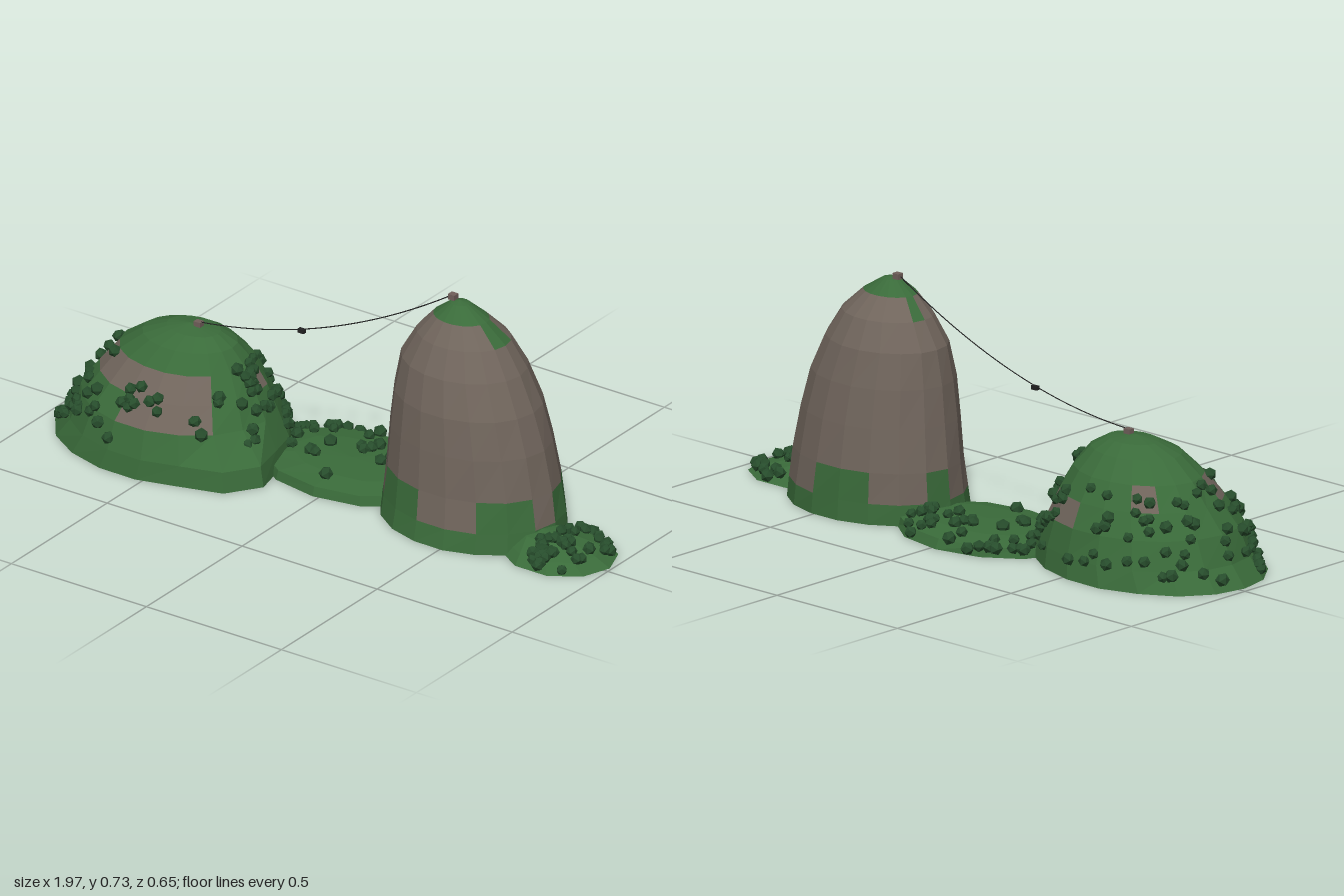
import * as THREE from 'three';
import { mergeGeometries } from 'three/addons/utils/BufferGeometryUtils.js';

const mat = (name, color, extra = {}) => new THREE.MeshStandardMaterial({ name, color, ...extra });

// Small seeded random numbers
function seeded(seed) {
  return () => {
    seed = (seed * 16807) % 2147483647;
    return seed / 2147483647;
  };
}

// Point on a hill: rings are [y, xMin, xMax, zMin, zMax], angle 0 = +x, 90 = +z
function ringPoint(ring, degrees, scale = 1) {
  const [y, x0, x1, z0, z1] = ring;
  const a = THREE.MathUtils.degToRad(degrees);
  return new THREE.Vector3(
    (x0 + x1) / 2 + Math.cos(a) * (x1 - x0) / 2 * scale, y,
    (z0 + z1) / 2 + Math.sin(a) * (z1 - z0) / 2 * scale);
}

// Faceted hill from rings; isRock(level, angle) picks the material of each face
function hill(name, rings, sides, materials, { isRock = () => false, swell = () => 1, seed = 7, rough = 0.02 } = {}) {
  const rand = seeded(seed), step = 360 / sides;
  const loops = rings.map((ring, k) => {
    const loop = [];
    for (let i = 0; i < sides; i++) {
      loop.push(ringPoint(ring, i * step, swell(k, i * step) * (1 + (rand() - 0.5) * rough)));
    }
    return loop;
  });
  const faces = [[], []];
  for (let k = 0; k < rings.length - 1; k++) {
    for (let i = 0; i < sides; i++) {
      const j = (i + 1) % sides, low = loops[k], up = loops[k + 1];
      const out = faces[isRock(k, (i + 0.5) * step) ? 1 : 0];
      out.push(low[j], low[i], up[i]);
      if (k < rings.length - 2) out.push(low[j], up[i], up[j]);
    }
  }
  // Flat underside
  const centre = ringPoint(rings[0], 0, 0);
  for (let i = 0; i < sides; i++) faces[0].push(centre, loops[0][i], loops[0][(i + 1) % sides]);

  const geometry = new THREE.BufferGeometry().setFromPoints([...faces[0], ...faces[1]]);
  geometry.addGroup(0, faces[0].length, 0);
  geometry.addGroup(faces[0].length, faces[1].length, 1);
  geometry.computeVertexNormals();
  const mesh = new THREE.Mesh(geometry, materials);
  mesh.name = name;
  return mesh;
}

// Scatter bushes over a hill; each zone is [count, angleFrom, angleTo, levelFrom, levelTo]
function bushes(name, rings, zones, material, seed) {
  const rand = seeded(seed), parts = [];
  for (const [count, a0, a1, k0, k1] of zones) {
    for (let n = 0; n < count; n++) {
      const angle = a0 + (a1 - a0) * rand();
      const level = k0 + (k1 - k0) * rand(), k = Math.floor(level);
      const p = ringPoint(rings[k], angle).lerp(ringPoint(rings[k + 1], angle), level - k);
      const r = 0.017 + rand() * 0.006;
      const bush = new THREE.IcosahedronGeometry(r, 0);
      bush.rotateY(rand() * 6).translate(p.x, Math.max(p.y + 0.009, r), p.z);
      parts.push(bush);
    }
  }
  const mesh = new THREE.Mesh(mergeGeometries(parts), material);
  mesh.name = name;
  return mesh;
}

const within = (a, ranges) => ranges.some(([from, to]) => a > from && a < to);

export function createModel() {
  const group = new THREE.Group();
  const grass = mat('grass green', 0x3a6b3a);
  const rock = mat('rock brown', 0x70655c);
  const foliage = mat('dark foliage', 0x274d2c);
  const stationMat = mat('station brown', 0x705f5a);
  const dark = mat('cable black', 0x222222);
  const land = [grass, rock];

  // Tall rocky peak with grassy foot and crown
  const tall = [
    [0.006, 0.15, 0.762, -0.313, 0.176],
    [0.07, 0.155, 0.755, -0.308, 0.162],
    [0.167, 0.163, 0.738, -0.3, 0.147],
    [0.3, 0.178, 0.712, -0.282, 0.137],
    [0.42, 0.192, 0.678, -0.262, 0.124],
    [0.53, 0.213, 0.626, -0.235, 0.094],
    [0.615, 0.262, 0.57, -0.195, 0.052],
    [0.677, 0.32, 0.505, -0.135, 0.008],
    [0.718, 0.375, 0.438, -0.092, -0.038],
    [0.725, 0.405, 0.405, -0.066, -0.066],
  ];
  const tallFoot = [[20, 60], [100, 140], [180, 200], [240, 280], [320, 360]];
  group.add(hill('tallPeak', tall, 18, land, {
    isRock: (k, a) => {
      if (k === 0 || k >= 7) return false;
      if (k === 1) return !within(a, tallFoot);
      if (k === 6) return !within(a, [[0, 20], [340, 360], [180, 200]]);
      return true;
    },
    seed: 11, rough: 0.012,
  }));

  // Broad grassy hill with exposed rock patches
  const broad = [
    [0.006, -0.98, -0.2, -0.285, 0.328],
    [0.07, -0.93, -0.215, -0.272, 0.315],
    [0.157, -0.89, -0.255, -0.25, 0.285],
    [0.232, -0.835, -0.295, -0.215, 0.232],
    [0.305, -0.78, -0.34, -0.17, 0.172],
    [0.362, -0.7, -0.385, -0.11, 0.125],
    [0.392, -0.62, -0.44, -0.06, 0.07],
    [0.405, -0.54, -0.54, 0.01, 0.01],
  ];
  group.add(hill('broadHill', broad, 18, land, {
    isRock: (k, a) =>
      (k === 2 && within(a, [[40, 100], [280, 320]])) ||
      (k === 3 && within(a, [[40, 160], [220, 240], [340, 360]])),
    // Low ledge jutting toward the front right
    swell: (k, a) => (k < 2 && (a === 20 || a === 40) ? 1.14 : 1),
    seed: 23,
  }));

  // Low land bridge between the hills
  const bridge = [
    [0.006, -0.33, 0.29, -0.322, 0.105],
    [0.036, -0.32, 0.28, -0.31, 0.096],
    [0.05, -0.22, 0.2, -0.23, 0.02],
    [0.056, -0.02, -0.02, -0.1, -0.1],
  ];
  group.add(hill('landBridge', bridge, 12, land, { seed: 31 }));

  // Small cape beside the tall peak
  const cape = [
    [0.006, 0.62, 0.995, -0.178, 0.138],
    [0.03, 0.64, 0.94, -0.145, 0.105],
    [0.06, 0.67, 0.83, -0.08, 0.04],
    [0.068, 0.74, 0.74, -0.02, -0.02],
  ];
  group.add(hill('cape', cape, 10, land, { seed: 41 }));

  // Bushes
  group.add(bushes('broadHillBushes', broad, [
    [36, -50, 38, 1, 4.1],
    [26, 140, 205, 0.2, 4],
    [34, 195, 312, 0.4, 3.8],
    [9, 75, 100, 2.5, 3.3],
    [9, 100, 140, 1.3, 2.6],
    [3, 40, 60, 1.8, 2.6],
  ], foliage, 57));
  group.add(bushes('landBridgeBushes', bridge, [
    [38, 185, 345, 0.4, 2.6],
    [8, 90, 170, 1, 2.6],
  ], foliage, 63));
  group.add(bushes('capeBushes', cape, [[40, -88, 88, 0.3, 2.3]], foliage, 71));

  // Cable stations on both summits
  const addBox = (name, size, position, material) => {
    const mesh = new THREE.Mesh(new THREE.BoxGeometry(...size), material);
    mesh.name = name;
    mesh.position.set(...position);
    group.add(mesh);
  };
  addBox('lowerStation', [0.024, 0.016, 0.02], [-0.51, 0.409, 0.008], stationMat);
  addBox('upperStation', [0.024, 0.018, 0.022], [0.38, 0.729, -0.066], stationMat);

  // Sagging cable with its hanging cabin
  const cable = new THREE.QuadraticBezierCurve3(
    new THREE.Vector3(-0.51, 0.415, 0.008),
    new THREE.Vector3(-0.065, 0.445, -0.029),
    new THREE.Vector3(0.38, 0.735, -0.066));
  const wire = new THREE.Mesh(new THREE.TubeGeometry(cable, 32, 0.0018, 6), dark);
  wire.name = 'cable';
  group.add(wire);
  const hang = cable.getPoint(0.405);
  addBox('cabin', [0.022, 0.013, 0.013], [hang.x, 0.477, hang.z], dark);
  addBox('cabinHanger', [0.002, hang.y - 0.477, 0.002], [hang.x, (hang.y + 0.477) / 2, hang.z], dark);

  return group;
}
